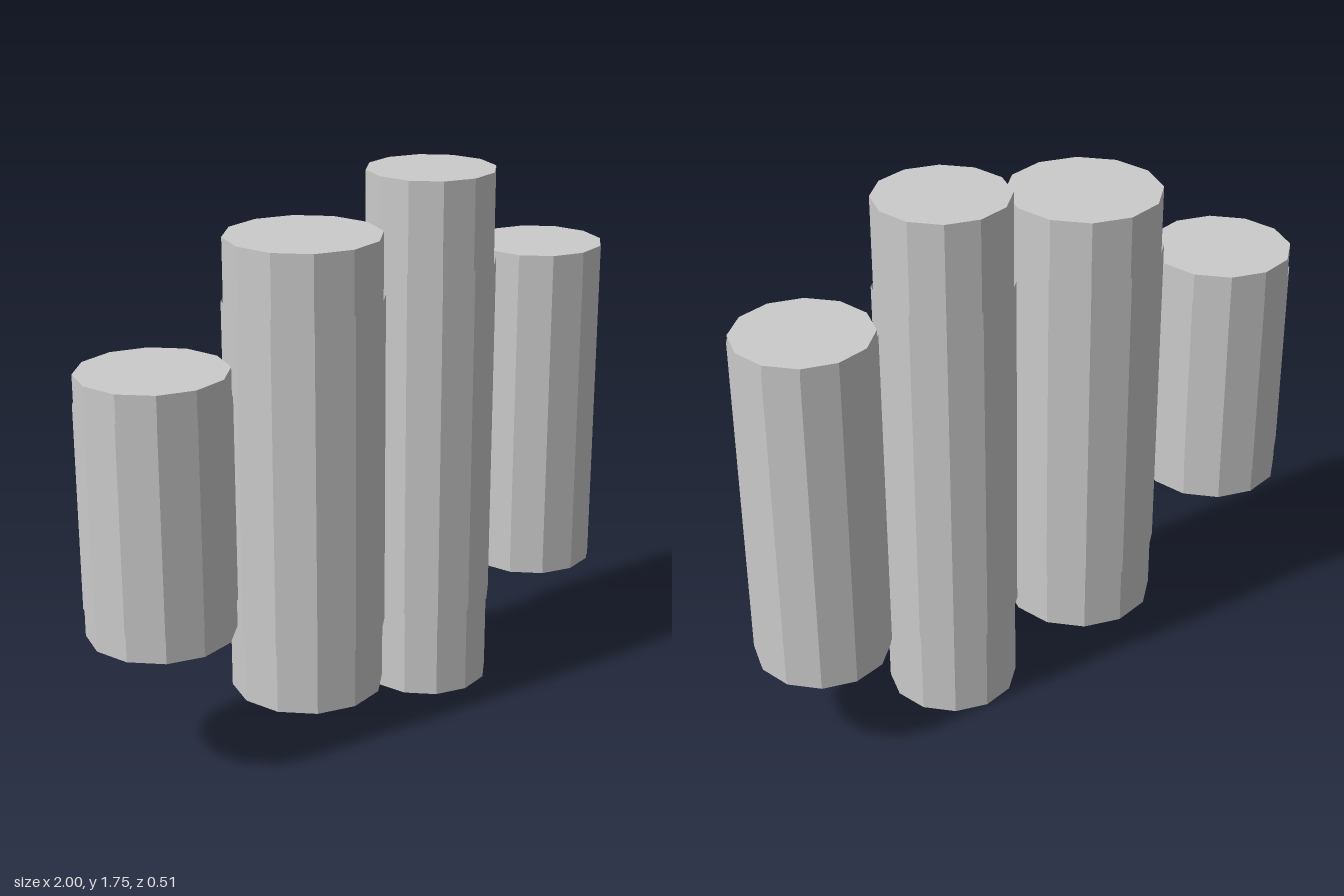
import * as THREE from 'three';

const SIDES = 12;

// One solid twelve-sided column with a thin open sleeve around its middle.
function column(name, { x, z, r, y0, y1, sleeve }) {
  const group = new THREE.Group();
  group.name = name;
  group.position.set(x, 0, z);

  const core = new THREE.Mesh(
    new THREE.CylinderGeometry(r, r, y1 - y0, SIDES),
    new THREE.MeshStandardMaterial({ color: 0xcccccc, flatShading: true })
  );
  core.name = 'core';
  core.position.y = (y0 + y1) / 2;

  const [s0, s1, rx, rz] = sleeve;
  const shell = new THREE.Mesh(
    new THREE.CylinderGeometry(1, 1, s1 - s0, SIDES, 1, true).scale(rx, 1, rz),
    new THREE.MeshStandardMaterial({ color: 0xcccccc, flatShading: true, side: THREE.DoubleSide })
  );
  shell.name = 'sleeve';
  shell.position.y = (s0 + s1) / 2;

  group.add(core, shell);
  return group;
}

export function createModel() {
  const model = new THREE.Group();
  model.name = 'columnRow';

  // sleeve: bottom, top, radius along x, radius along z
  model.add(
    column('shortColumn', { x: -0.765, z: -0.022, r: 0.232, y0: 0.46, y1: 1.297, sleeve: [0.55, 1.21, 0.236, 0.234] }),
    column('wideColumn', { x: -0.227, z: 0.004, r: 0.247, y0: 0.133, y1: 1.627, sleeve: [0.333, 1.428, 0.254, 0.254] }),
    column('tallColumn', { x: 0.302, z: -0.021, r: 0.21, y0: 0, y1: 1.755, sleeve: [0.295, 1.463, 0.217, 0.217] }),
    column('outerColumn', { x: 0.78, z: -0.02, r: 0.214, y0: 0.315, y1: 1.444, sleeve: [0.33, 1.428, 0.218, 0.216] })
  );
  return model;
}
